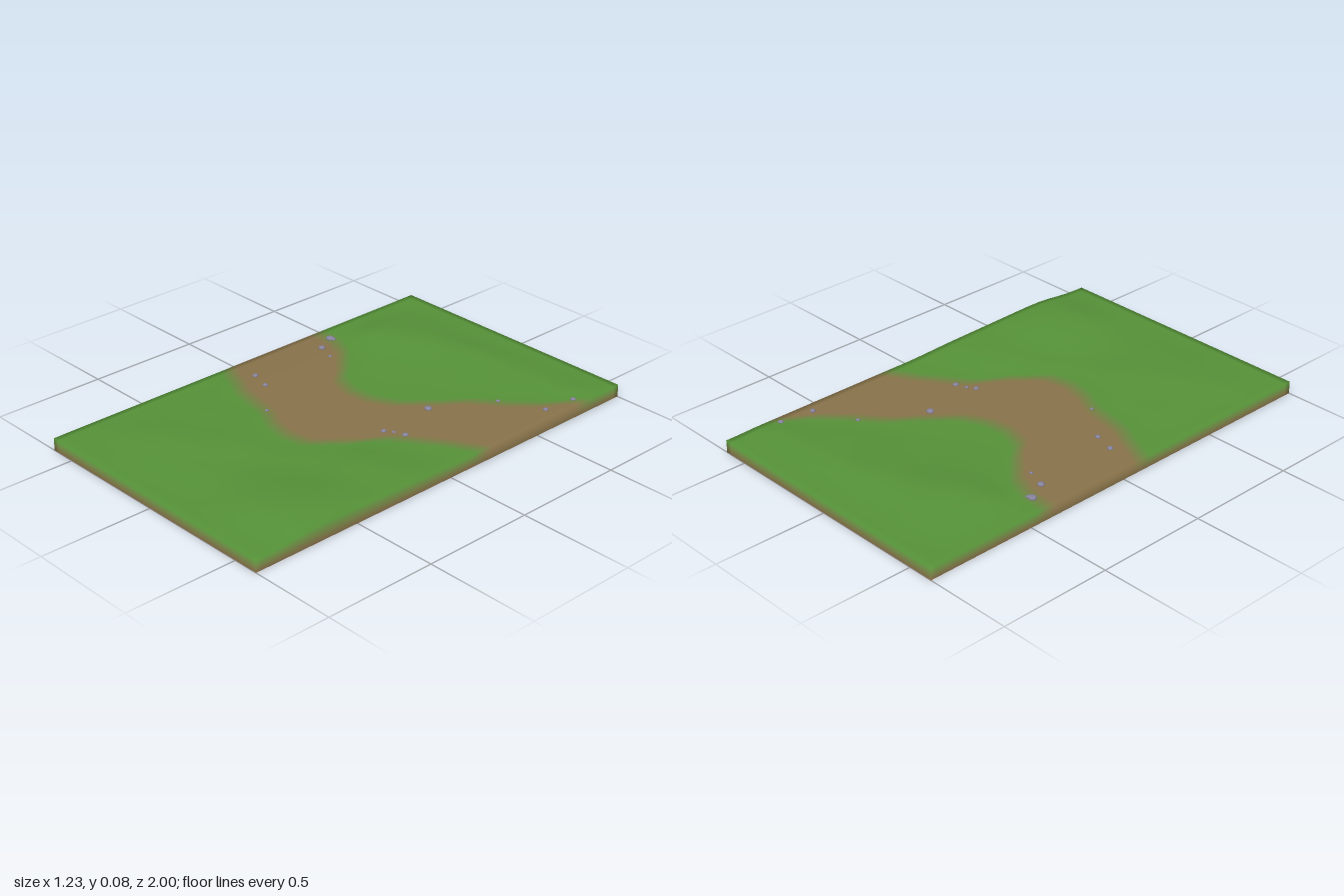
import * as THREE from 'three';

const W = 0.615, D = 1, RIM = 0.055, INSET = 0.03, BLEND = 0.04, COLS = 48;

// Grass fading to dirt in eight flat steps
const palette = [0x569238, 0x5d8e3c, 0x64893f, 0x6b8541, 0x738043, 0x7a7c45, 0x817748, 0x88734a];
const names = ['grass', 'grassEdge1', 'grassEdge2', 'grassEdge3', 'dirtEdge3', 'dirtEdge2', 'dirtEdge1', 'dirt'];
const DIRT = palette.length - 1;

// Far and near banks of the path: x, far z, near z
const banks = [
  [-0.615, -0.42, 0.10], [-0.5, -0.41, 0.15], [-0.4, -0.37, 0.20], [-0.3, -0.28, 0.22],
  [-0.2, -0.17, 0.24], [-0.1, -0.14, 0.29], [0, -0.15, 0.31], [0.1, -0.2, 0.29],
  [0.2, -0.31, 0.18], [0.3, -0.44, 0.02], [0.4, -0.52, -0.05], [0.5, -0.61, -0.12], [0.615, -0.78, -0.18],
];

// Low hills: x, z, height, x spread, z spread
const hills = [
  [-0.35, -0.62, 0.024, 0.22, 0.2], [0.02, -0.74, 0.017, 0.25, 0.17], [0.42, 0.68, 0.024, 0.2, 0.24],
  [0.62, 0.55, 0.010, 0.15, 0.3], [-0.2, 0.65, 0.012, 0.25, 0.25], [0.45, 0.25, 0.011, 0.2, 0.15],
  [0.4, -0.85, 0.010, 0.2, 0.12],
];

// Pebbles: x, z, radius
const pebbles = [
  [-0.53, -0.415, 0.02], [-0.515, -0.42, 0.012], [-0.485, -0.325, 0.017], [-0.4, -0.295, 0.009],
  [-0.48, 0.06, 0.014], [-0.385, 0.087, 0.013], [-0.21, 0.23, 0.009], [0.228, -0.262, 0.018],
  [0.376, -0.52, 0.01], [0.56, -0.607, 0.013], [0.577, -0.757, 0.013], [0.24, 0.003, 0.013],
  [0.275, -0.02, 0.009], [0.323, -0.037, 0.014],
];

function bankAt(x) {
  let k = 0;
  while (k < banks.length - 2 && x > banks[k + 1][0]) k++;
  const [p, q] = [banks[k], banks[k + 1]];
  const t = THREE.MathUtils.smoothstep(x, p[0], q[0]) * 0.3 + 0.7 * (x - p[0]) / (q[0] - p[0]);
  return [p[1] + (q[1] - p[1]) * t, p[2] + (q[2] - p[2]) * t];
}

function height(x, z) {
  const [far, near] = bankAt(THREE.MathUtils.clamp(x, -W, W));
  const offPath = THREE.MathUtils.smoothstep(Math.max(far - z, z - near), -0.02, 0.2);
  const edge = THREE.MathUtils.smoothstep(D - Math.abs(z), 0, 0.25) * THREE.MathUtils.smoothstep(x + W, 0, 0.2);
  let h = 0;
  for (const [hx, hz, a, sx, sz] of hills) h += a * Math.exp(-(((x - hx) / sx) ** 2) - ((z - hz) / sz) ** 2);
  const ripple = 0.0015 * Math.sin(x * 17 + z * 6) * Math.sin(z * 14 - x * 5);
  return RIM + edge * (0.003 + offPath * (h + ripple));
}

// Row positions across one column, fitted to the path banks
const segments = [1, 18, 6, 10, 6, 18, 1];
const rowLevels = segments.flatMap((n, s) => Array.from({ length: n }, (_, k) =>
  s === 2 ? k + 1 : s === 3 ? DIRT : s === 4 ? 6 - k : 0));
function rowsAt(x) {
  const [far, near] = bankAt(x);
  const knots = [-D, INSET - D, far - BLEND, far + BLEND, near - BLEND, near + BLEND, D - INSET, D];
  const rows = [-D];
  segments.forEach((n, s) => {
    for (let k = 1; k <= n; k++) rows.push(knots[s] + (knots[s + 1] - knots[s]) * k / n);
  });
  return rows;
}

function buildGround(materials) {
  const positions = [], normals = [];
  const faces = palette.map(() => []);
  const addVertex = (p, n) => {
    positions.push(p.x, p.y, p.z);
    normals.push(n.x, n.y, n.z);
    return positions.length / 3 - 1;
  };
  const addQuad = (level, a, b, c, d) => faces[level].push(a, b, c, a, c, d);

  // Turf surface, with normals rounded over at the rim
  const points = [];
  for (let i = 0; i <= COLS; i++) {
    const x = i === 0 ? -W : i === COLS ? W
      : -W + INSET + (i - 1) / (COLS - 2) * 2 * (W - INSET);
    points.push(rowsAt(x).map((z, j, all) => {
      const pos = new THREE.Vector3(x, height(x, z), z), e = 0.01;
      const out = new THREE.Vector3(i === 0 ? -1 : i === COLS ? 1 : 0, 0, j === 0 ? -1 : j === all.length - 1 ? 1 : 0);
      const normal = new THREE.Vector3(
        (height(x - e, z) - height(x + e, z)) / (2 * e), 1,
        (height(x, z - e) - height(x, z + e)) / (2 * e)).normalize().add(out).normalize();
      return { pos, normal, out, id: addVertex(pos, normal) };
    }));
  }
  const last = rowLevels.length;
  for (let i = 0; i < COLS; i++) {
    for (let j = 0; j < last; j++) {
      addQuad(rowLevels[j], points[i][j].id, points[i][j + 1].id, points[i + 1][j + 1].id, points[i + 1][j].id);
    }
  }

  // Side skirt, fading down to bare dirt; the underside stays open
  const bands = 8;
  const drop = (p) => Array.from({ length: bands + 1 }, (_, k) => {
    const t = k / bands;
    return addVertex(new THREE.Vector3(p.pos.x, p.pos.y * (1 - t), p.pos.z),
      p.normal.clone().lerp(p.out, t).normalize());
  });
  const addSide = (edge, levelAt) => {
    const drops = edge.map(drop);
    for (let s = 0; s < edge.length - 1; s++) {
      for (let k = 0; k < bands; k++) {
        const level = Math.round(THREE.MathUtils.lerp(levelAt(s), DIRT, (k + 0.5) / bands));
        addQuad(level, drops[s][k], drops[s][k + 1], drops[s + 1][k + 1], drops[s + 1][k]);
      }
    }
  };
  addSide(points.map((c) => c[last]), () => 0);
  addSide([...points[COLS]].reverse(), (s) => rowLevels[last - 1 - s]);
  addSide(points.map((c) => c[0]).reverse(), () => 0);
  addSide(points[0], (s) => rowLevels[s]);

  const geometry = new THREE.BufferGeometry();
  geometry.setAttribute('position', new THREE.Float32BufferAttribute(positions, 3));
  geometry.setAttribute('normal', new THREE.Float32BufferAttribute(normals, 3));
  geometry.setIndex(faces.flat());
  let start = 0;
  faces.forEach((f, m) => {
    geometry.addGroup(start, f.length, m);
    start += f.length;
  });
  const ground = new THREE.Mesh(geometry, materials);
  ground.name = 'ground';
  return ground;
}

export function createModel() {
  const model = new THREE.Group();
  model.name = 'groundTile';
  const materials = palette.map((color, i) => {
    const m = new THREE.MeshStandardMaterial({ color, side: THREE.DoubleSide });
    m.name = names[i];
    return m;
  });
  const stone = new THREE.MeshStandardMaterial({ color: 0x86829c });
  stone.name = 'stone';
  model.add(buildGround(materials));

  // Pebbles half sunk along the banks
  const pebbleGroup = new THREE.Group();
  pebbleGroup.name = 'pebbles';
  const pebbleShape = new THREE.SphereGeometry(1, 10, 7);
  pebbles.forEach(([x, z, r], i) => {
    const pebble = new THREE.Mesh(pebbleShape, stone);
    pebble.name = 'pebble';
    pebble.position.set(x, height(x, z) + r * 0.1, z);
    pebble.scale.set(r, r * 0.5, r * 0.9);
    pebble.rotation.y = i * 1.3;
    pebbleGroup.add(pebble);
  });
  model.add(pebbleGroup);
  return model;
}
